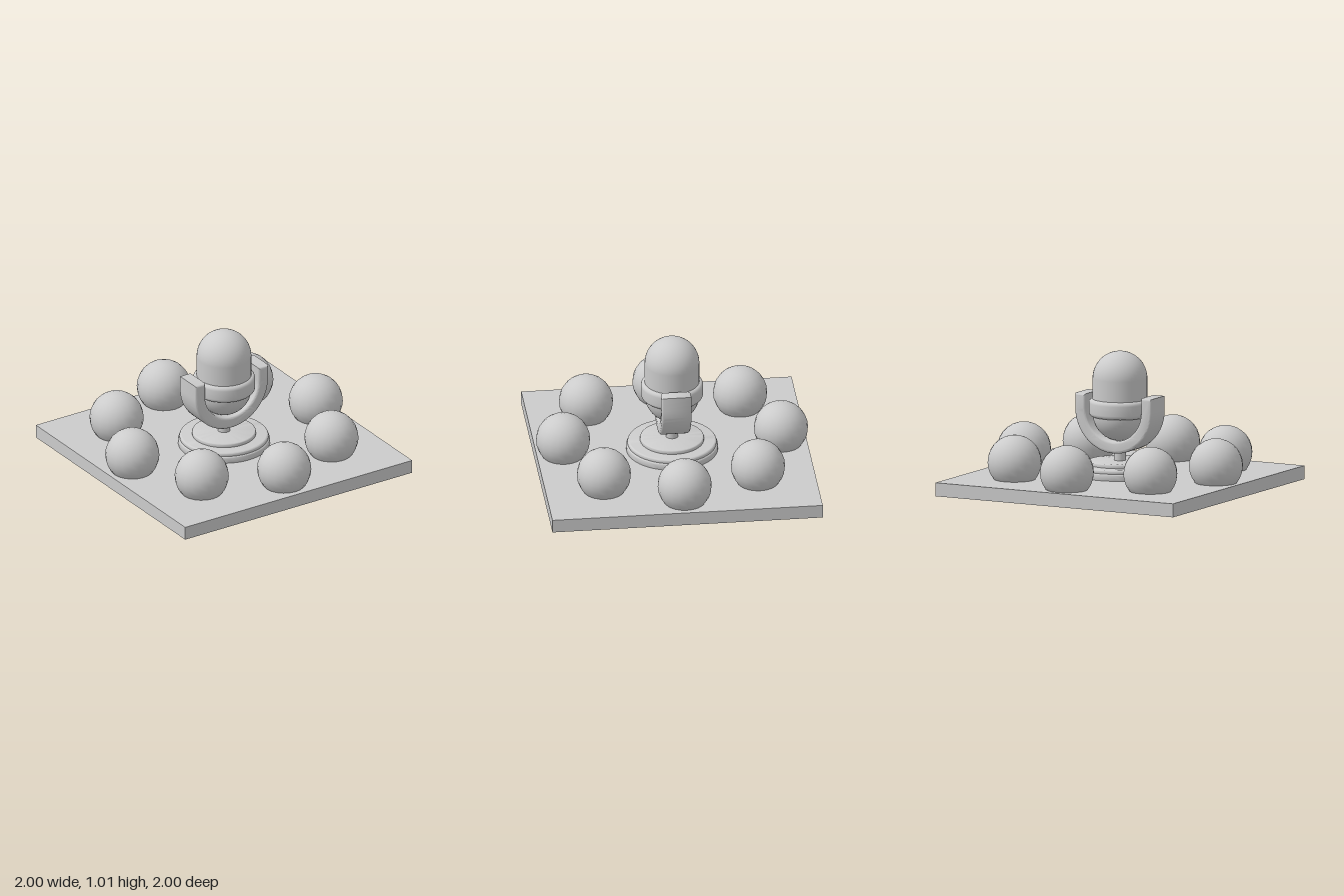
import * as THREE from 'three';
import { toCreasedNormals } from 'three/addons/utils/BufferGeometryUtils.js';

const material = new THREE.MeshStandardMaterial({ color: 0xcccccc });

function add(parent, name, geometry, x = 0, y = 0, z = 0) {
  const mesh = new THREE.Mesh(geometry, material);
  mesh.name = name;
  mesh.position.set(x, y, z);
  parent.add(mesh);
  return mesh;
}

// Round disc with softened rims; an inner radius of 0 closes it at the axis.
function roundedDisc(inner, outer, bottom, top, r) {
  const pts = [new THREE.Vector2(inner, bottom)];
  const corner = (cy, from) => {
    for (let i = 0; i <= 5; i++) {
      const a = from + (i / 5) * Math.PI / 2;
      pts.push(new THREE.Vector2(outer - r + r * Math.cos(a), cy + r * Math.sin(a)));
    }
  };
  corner(bottom + r, -Math.PI / 2);
  corner(top - r, 0);
  pts.push(new THREE.Vector2(inner, top));
  return toCreasedNormals(new THREE.LatheGeometry(pts, 48), 0.6);
}

// U-shaped bracket, bevelled all round, centred on z.
function yokeGeometry() {
  const bevel = 0.02, outer = 0.32 - bevel, inner = 0.23 + bevel;
  const depth = 0.22 - 2 * bevel, cy = 0.585, top = 0.69 - bevel;
  const s = new THREE.Shape();
  s.moveTo(-outer, top);
  s.lineTo(-outer, cy);
  s.absarc(0, cy, outer, Math.PI, 2 * Math.PI, false);
  s.lineTo(outer, top);
  s.lineTo(inner, top);
  s.lineTo(inner, cy);
  s.absarc(0, cy, inner, 2 * Math.PI, Math.PI, true);
  s.lineTo(-inner, top);
  s.closePath();
  const g = new THREE.ExtrudeGeometry(s, {
    depth, curveSegments: 32, bevelThickness: bevel, bevelSize: bevel, bevelSegments: 4,
  });
  g.translate(0, 0, -depth / 2);
  return toCreasedNormals(g, 0.6);
}

export function createModel() {
  const model = new THREE.Group();
  model.name = 'microphoneDisplay';

  // Square plinth
  add(model, 'plinth', new THREE.BoxGeometry(1.98, 0.1, 1.985), 0, 0.05, 0);

  // Ring of balls resting on the plinth
  const balls = new THREE.Group();
  balls.name = 'balls';
  model.add(balls);
  for (let i = 0; i < 8; i++) {
    const a = (i / 8) * Math.PI * 2;
    add(balls, 'ball', new THREE.SphereGeometry(0.198, 20, 14),
      0.8 * Math.cos(a), 0.227, 0.8 * Math.sin(a));
  }

  const microphone = new THREE.Group();
  microphone.name = 'microphone';
  model.add(microphone);

  // Stepped foot and stem
  add(microphone, 'footLower', roundedDisc(0, 0.335, 0.09, 0.15, 0.015));
  add(microphone, 'footUpper', roundedDisc(0, 0.325, 0.14, 0.177, 0.015));
  add(microphone, 'footCap', roundedDisc(0, 0.233, 0.165, 0.205, 0.012));
  add(microphone, 'stem', new THREE.CylinderGeometry(0.045, 0.045, 0.12, 32), 0, 0.245, 0);

  // Bracket carrying the head
  add(microphone, 'yoke', yokeGeometry());

  // Pill-shaped head with its band
  add(microphone, 'head', new THREE.CapsuleGeometry(0.2, 0.26, 14, 40), 0, 0.68, 0);
  add(microphone, 'band', roundedDisc(0.19, 0.227, 0.53, 0.66, 0.03));

  return model;
}
